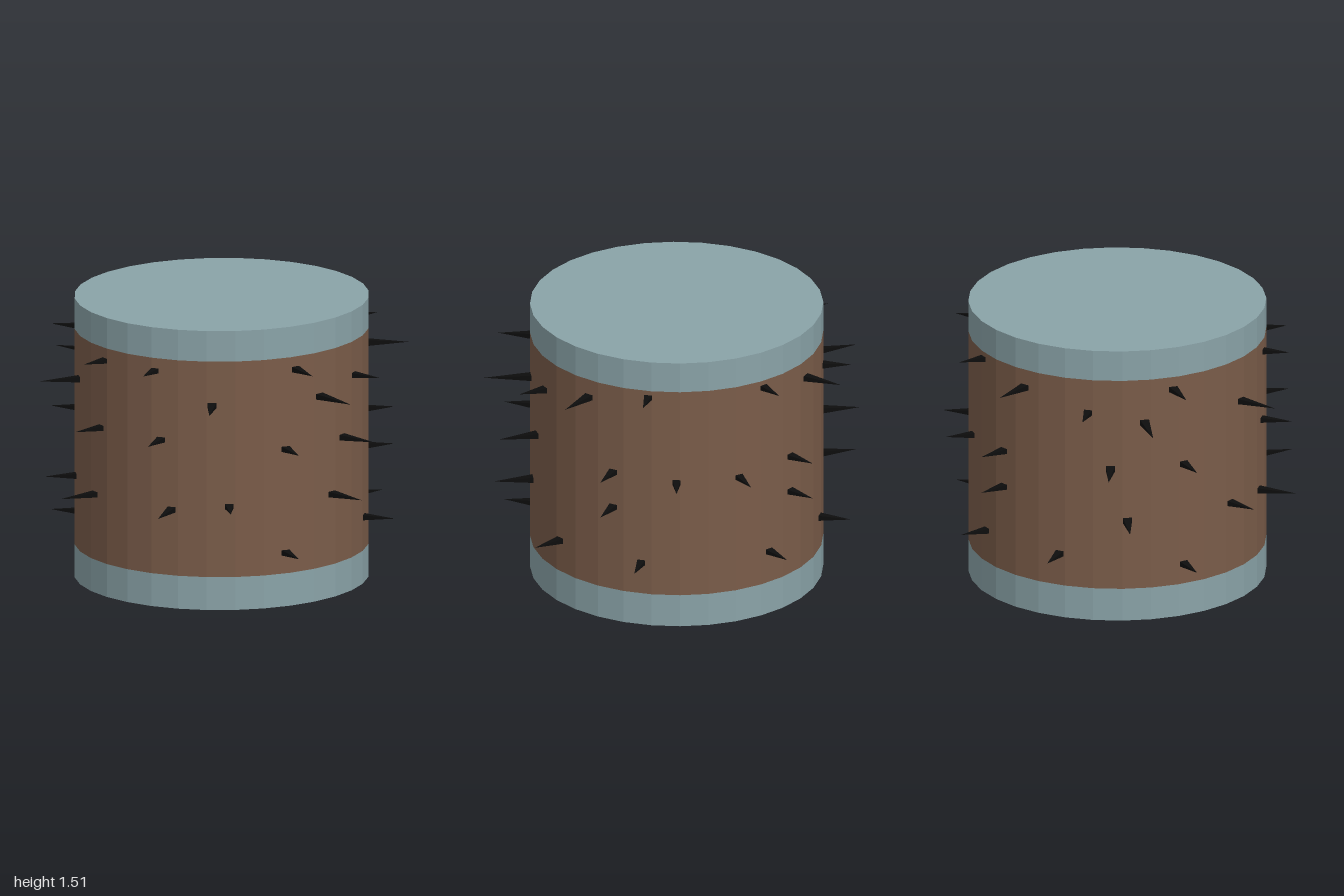
import * as THREE from 'three';

const SIDES = 32;
const CENTRE_Z = -0.012;
const RX = 0.768, RZ = 0.781;

const mats = {
  steel: new THREE.MeshStandardMaterial({ name: 'blue grey rim', color: 0x8aa3a8 }),
  brown: new THREE.MeshStandardMaterial({ name: 'brown body', color: 0x7a5c49 }),
  black: new THREE.MeshStandardMaterial({ name: 'black spike', color: 0x0d0d0d }),
};

// Faceted geometry: every face gets its own normal
function faceted(geometry) {
  const flat = geometry.toNonIndexed();
  flat.computeVertexNormals();
  return flat;
}

// One band of the drum between two heights
function band(name, y0, y1, material, open) {
  const geo = new THREE.CylinderGeometry(1, 1, y1 - y0, SIDES, 1, open);
  geo.scale(RX, 1, RZ);
  geo.translate(0, (y0 + y1) / 2, CENTRE_Z);
  const mesh = new THREE.Mesh(faceted(geo), material);
  mesh.name = name;
  return mesh;
}

// Four-sided spike pointing outward, its tip at the given position
function spike(x, y, z) {
  const reach = Math.hypot(x, z - CENTRE_Z);
  const base = 0.735;
  const length = reach - base;
  const geo = new THREE.ConeGeometry(Math.SQRT2, length, 4, 1);
  geo.rotateY(Math.PI / 4);
  geo.rotateX(Math.PI / 2);
  geo.scale(0.027, 0.017, 1);
  geo.translate(0, 0, base + length / 2);
  const mesh = new THREE.Mesh(faceted(geo), mats.black);
  mesh.position.set(0, y, CENTRE_Z);
  mesh.rotation.y = Math.atan2(x, z - CENTRE_Z);
  return mesh;
}

export function createModel() {
  const model = new THREE.Group();
  model.name = 'spikedDrum';

  model.add(
    band('bottomRim', 0, 0.178, mats.steel, false),
    band('body', 0.178, 1.343, mats.brown, true),
    band('topRim', 1.343, 1.508, mats.steel, false),
  );

  // Spike tips on the left half, mirrored to the right
  const tips = [
    // front
    [0.20, 1.275, 0.885], [0.575, 1.105, 0.795], [0.245, 0.905, 0.90],
    [0.63, 0.56, 0.685], [0.33, 0.533, 0.92],
    // sides
    [0.885, 1.275, 0.32], [1.0, 1.105, 0.143], [0.84, 0.85, 0.378],
    [0.967, 0.85, -0.09], [0.975, 0.56, 0.022], [0.84, 0.29, 0.378],
    [0.89, 1.16, -0.225], [0.848, 0.355, -0.408],
    // back
    [0.74, 1.245, -0.655], [0.365, 1.305, -0.852], [0.57, 0.85, -0.745],
    [0.57, 0.65, -0.745], [0.20, 0.825, -0.92], [0.41, 0.355, -0.845],
  ];
  const spikes = new THREE.Group();
  spikes.name = 'spikes';
  for (const [x, y, z] of tips) {
    for (const side of [1, -1]) {
      const mesh = spike(side * x, y, z);
      mesh.name = side > 0 ? 'leftSpike' : 'rightSpike';
      spikes.add(mesh);
    }
  }
  model.add(spikes);
  return model;
}
